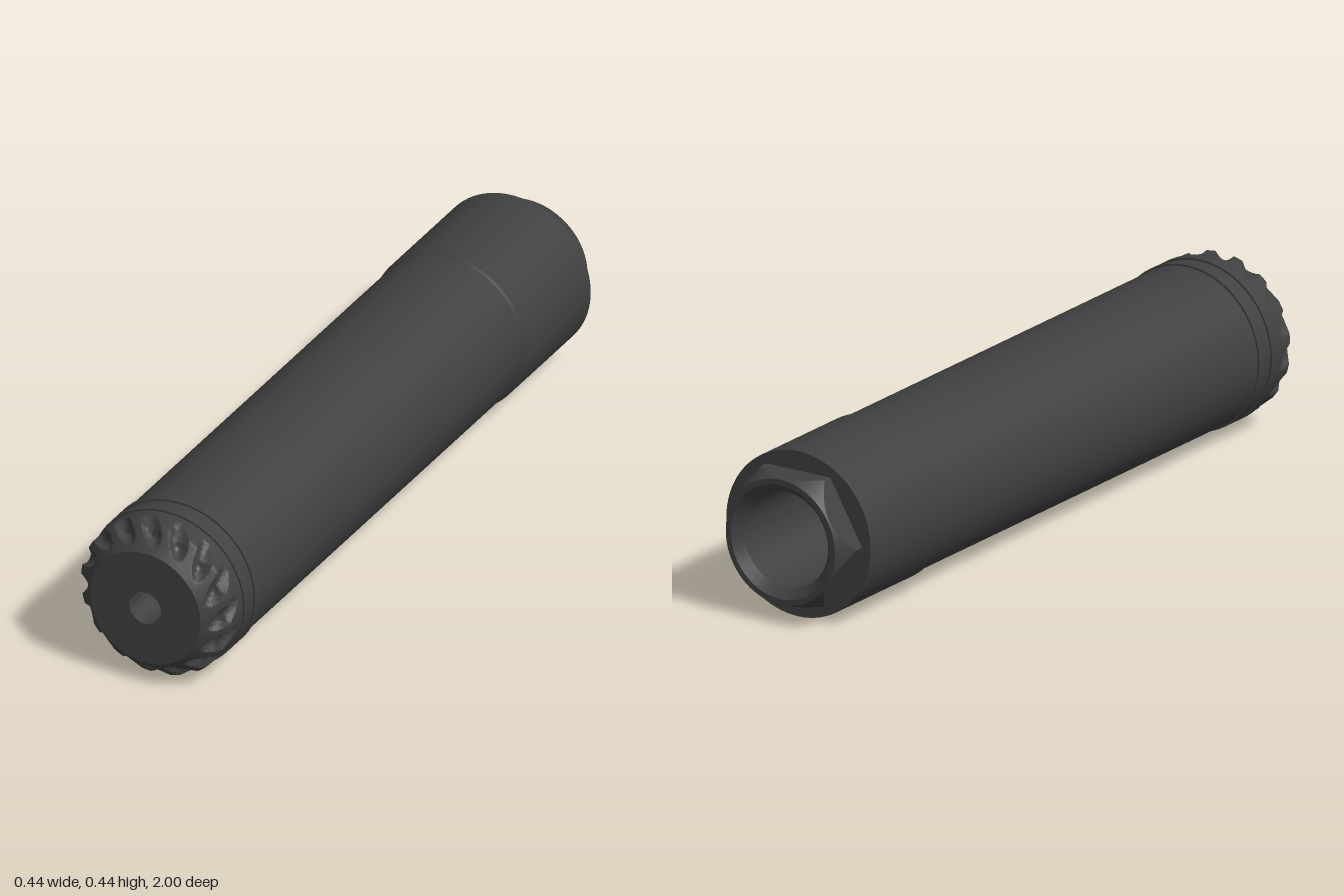
import * as THREE from 'three';
import { toCreasedNormals } from 'three/addons/utils/BufferGeometryUtils.js';

const AXIS_Y = 0.218;

// Surface swept round the z axis; profile(angle) returns [radius, z] rows, outer side running towards +z
function sweep(columns, profile) {
  const pos = [], index = [];
  const rows = profile(0).length;
  for (let j = 0; j < columns; j++) {
    const a = (j / columns) * Math.PI * 2;
    for (const [r, z] of profile(a)) pos.push(r * Math.cos(a), r * Math.sin(a), z);
  }
  for (let j = 0; j < columns; j++) {
    const k = (j + 1) % columns;
    for (let i = 0; i < rows - 1; i++) {
      const a = j * rows + i, b = k * rows + i;
      index.push(a, b, a + 1, b, b + 1, a + 1);
    }
  }
  const g = new THREE.BufferGeometry();
  g.setAttribute('position', new THREE.Float32BufferAttribute(pos, 3));
  g.setIndex(index);
  return g;
}

// Hexagonal end with a conical chamfer and a countersunk bore
function hexProfile(a) {
  const sector = Math.PI / 3;
  const r = 0.167 / Math.cos((a % sector) - sector / 2);
  return [
    [0, -0.5], [0.127, -0.5], [0.127, -0.975], [0.15, -1], [0.165, -1],
    [r, -1 + (r - 0.165) * 2], [r, -0.915],
  ];
}

// Front cap: short cylinder, bevel with slanted scallops, flat face with a centre hole
const SCALLOPS = 16;
function capProfile(a) {
  const rim = 0.045, bevel = Math.hypot(0.056, 0.055), steps = 40;
  const rows = [[0.2, 0.9]];
  for (let i = 0; i <= steps; i++) {
    const s = ((rim + bevel) * i) / steps;
    const t = Math.max(0, s - rim) / bevel;
    let r = 0.213 - 0.056 * t;
    let z = s < rim ? 0.9 + s : 0.945 + 0.055 * t;
    // nearest scallop, leaning clockwise towards the face
    const pitch = (Math.PI * 2) / SCALLOPS;
    let d = a - Math.PI / 2 - 0.04 + (s - 0.055) * 2.6;
    d -= Math.round(d / pitch) * pitch;
    const q = ((d * r) / 0.028) ** 2 + ((s - 0.054) / 0.051) ** 2;
    const depth = 0.022 * Math.max(0, 1 - q);
    r -= depth * 0.9;
    z -= depth * 0.4 * Math.min(1, t * 4);
    rows.push([r, z]);
  }
  rows.push([0.045, 1], [0.045, 0.85], [0, 0.85]);
  return rows;
}

export function createModel() {
  const group = new THREE.Group();
  const darkGrey = new THREE.MeshStandardMaterial({ color: 0x404040 });
  darkGrey.name = 'darkGrey';

  const add = (name, geometry, crease) => {
    const mesh = new THREE.Mesh(toCreasedNormals(geometry, crease), darkGrey);
    mesh.name = name;
    mesh.position.y = AXIS_Y;
    group.add(mesh);
  };

  // Turned part: [radius, z] profile
  const turned = (points) =>
    new THREE.LatheGeometry(points.map(([r, z]) => new THREE.Vector2(r, z)), 80).rotateX(Math.PI / 2);

  add('rearSleeve', turned([[0.14, -0.92], [0.218, -0.92], [0.218, -0.583], [0.212, -0.577]]), 0.4);
  add('tubeBody', turned([[0.213, -0.59], [0.213, 0.89], [0.213, 0.902], [0.19, 0.902]]), 0.4);

  // Raised ribs behind the cap
  for (const z of [0.8, 0.855]) {
    add('rib', turned([[0.21, z], [0.218, z], [0.218, z + 0.026], [0.21, z + 0.026]]), 0.4);
  }

  add('frontCap', sweep(320, capProfile), 0.6);
  add('hexEnd', sweep(96, hexProfile), 0.3);
  return group;
}
